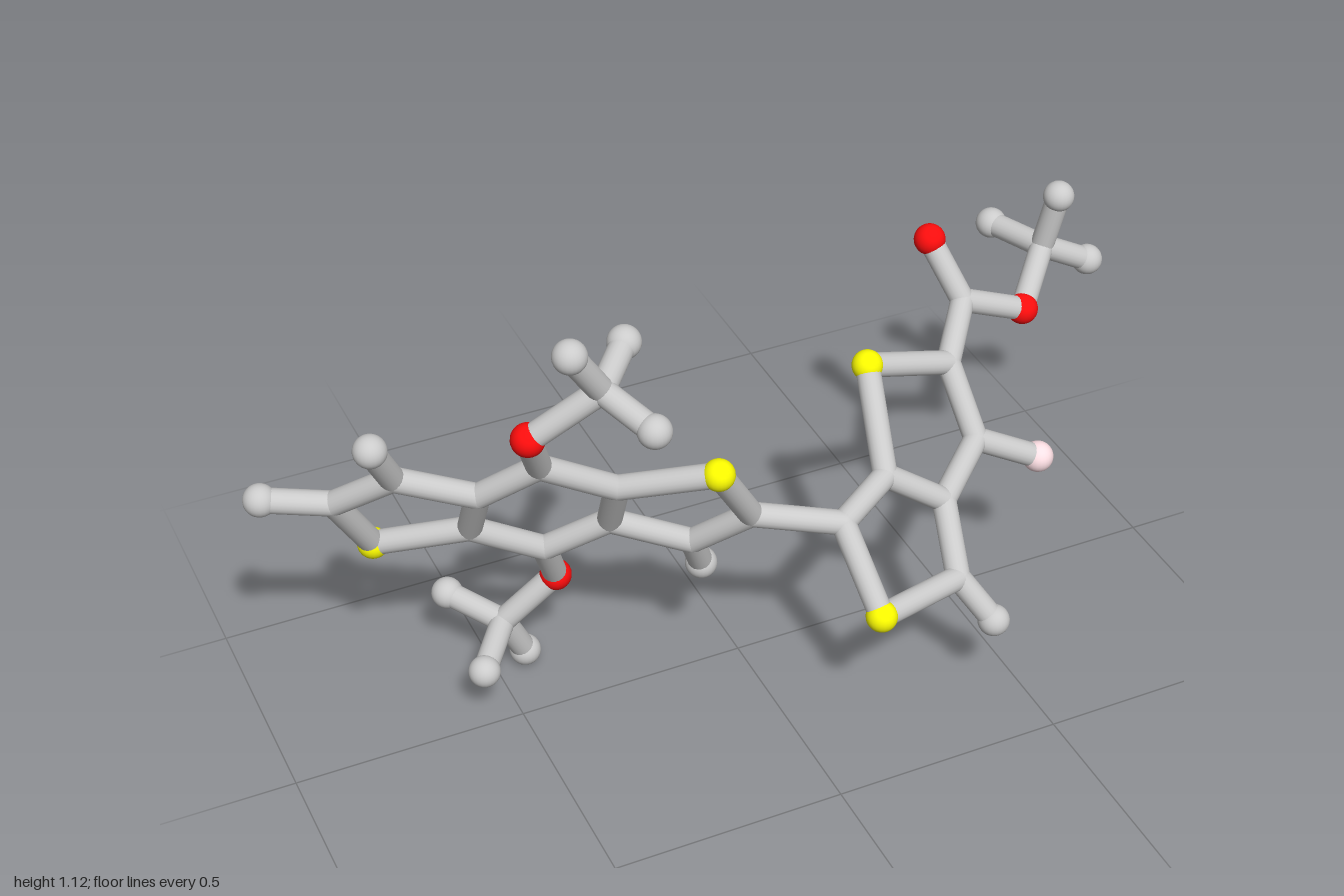
import * as THREE from 'three';

const BOND_RADIUS = 0.026;
const KINDS = {
  joint: { radius: BOND_RADIUS, color: 0xcccccc },
  tip: { radius: 0.034, color: 0xcccccc },
  red: { radius: 0.034, color: 0xff0d0d },
  yellow: { radius: 0.033, color: 0xffff00 },
  pink: { radius: 0.034, color: 0xffe1e6 },
};

// Each section: nodes as name: [kind, x, y, z], chains of bonded nodes
const SECTIONS = {
  tripleRing: {
    nodes: {
      a: ['joint', -0.835, 0.61, -0.095], b: ['joint', -0.735, 0.70, -0.005],
      c: ['joint', -0.578, 0.636, 0.035], d: ['joint', -0.572, 0.492, -0.05],
      e: ['joint', -0.476, 0.73, 0.115], f: ['joint', -0.42, 0.40, -0.037],
      g: ['joint', -0.32, 0.636, 0.125], h: ['joint', -0.305, 0.488, 0.04],
      i: ['joint', -0.053, 0.52, 0.18], j: ['joint', -0.142, 0.412, 0.083],
      s1: ['yellow', -0.743, 0.431, -0.162], s2: ['yellow', -0.155, 0.699, 0.247],
      h1: ['tip', -0.968, 0.63, -0.14], h2: ['tip', -0.79, 0.823, 0.05],
      h3: ['tip', -0.103, 0.31, 0.04],
    },
    chains: ['a b c d s1 a h1', 'b h2', 'c e g h f d', 'g s2 i j h', 'j h3'],
  },
  upperArm: {
    nodes: {
      o1: ['red', -0.523, 0.861, 0.19], m1: ['joint', -0.39, 0.967, 0.24],
      h4: ['tip', -0.462, 1.084, 0.27], h5: ['tip', -0.305, 0.995, 0.148],
      h6: ['tip', -0.332, 0.93, 0.352],
    },
    chains: ['e o1 m1 h4', 'h5 m1 h6'],
  },
  lowerArm: {
    nodes: {
      o2: ['red', -0.375, 0.267, -0.1], m2: ['joint', -0.487, 0.155, -0.132],
      h7: ['tip', -0.433, 0.037, -0.155], h8: ['tip', -0.572, 0.133, -0.02],
      h9: ['tip', -0.572, 0.182, -0.237],
    },
    chains: ['f o2 m2 h7', 'h8 m2 h9'],
  },
  doubleRing: {
    nodes: {
      k: ['joint', 0.118, 0.492, 0.25], l: ['joint', 0.36, 0.308, 0.308],
      m: ['joint', 0.387, 0.417, 0.186], n: ['joint', 0.257, 0.508, 0.165],
      o: ['joint', 0.505, 0.594, -0.03], p: ['joint', 0.52, 0.46, 0.077],
      s3: ['yellow', 0.144, 0.336, 0.381], s4: ['yellow', 0.294, 0.67, 0.002],
      h10: ['tip', 0.42, 0.213, 0.362], f1: ['pink', 0.663, 0.384, 0.1],
    },
    chains: ['i k s3 l m n k', 'l h10', 'n s4 o p m', 'p f1'],
  },
  endArm: {
    nodes: {
      q: ['joint', 0.594, 0.662, -0.138], o3: ['red', 0.55, 0.783, -0.215],
      o4: ['red', 0.743, 0.6, -0.134], r: ['joint', 0.85, 0.668, -0.245],
      h11: ['tip', 0.87, 0.802, -0.224], h12: ['tip', 0.967, 0.604, -0.24],
      h13: ['tip', 0.799, 0.663, -0.382],
    },
    chains: ['o q o3', 'q o4 r h11', 'h12 r h13'],
  },
};

export function createModel() {
  const model = new THREE.Group();
  model.name = 'stickMolecule';
  const up = new THREE.Vector3(0, 1, 0);
  const position = {};
  const material = {}, ball = {};
  for (const [kind, { radius, color }] of Object.entries(KINDS)) {
    material[kind] = new THREE.MeshStandardMaterial({ color });
    ball[kind] = new THREE.SphereGeometry(radius, 24, 16);
  }
  const rod = new THREE.CylinderGeometry(BOND_RADIUS, BOND_RADIUS, 1, 20, 1, true);

  for (const [sectionName, { nodes, chains }] of Object.entries(SECTIONS)) {
    const section = new THREE.Group();
    section.name = sectionName;
    model.add(section);

    // Balls at the ends and corners
    for (const [name, [kind, x, y, z]] of Object.entries(nodes)) {
      position[name] = new THREE.Vector3(x, y, z);
      const mesh = new THREE.Mesh(ball[kind], material[kind]);
      mesh.name = kind + 'Ball';
      mesh.position.copy(position[name]);
      section.add(mesh);
    }

    // Rods joining neighbours along each chain
    for (const chain of chains) {
      const names = chain.split(' ');
      for (let n = 1; n < names.length; n++) {
        const from = position[names[n - 1]], to = position[names[n]];
        const along = to.clone().sub(from);
        const mesh = new THREE.Mesh(rod, material.joint);
        mesh.name = 'rod';
        mesh.position.copy(from).add(to).multiplyScalar(0.5);
        mesh.scale.y = along.length();
        mesh.quaternion.setFromUnitVectors(up, along.normalize());
        section.add(mesh);
      }
    }
  }
  return model;
}
